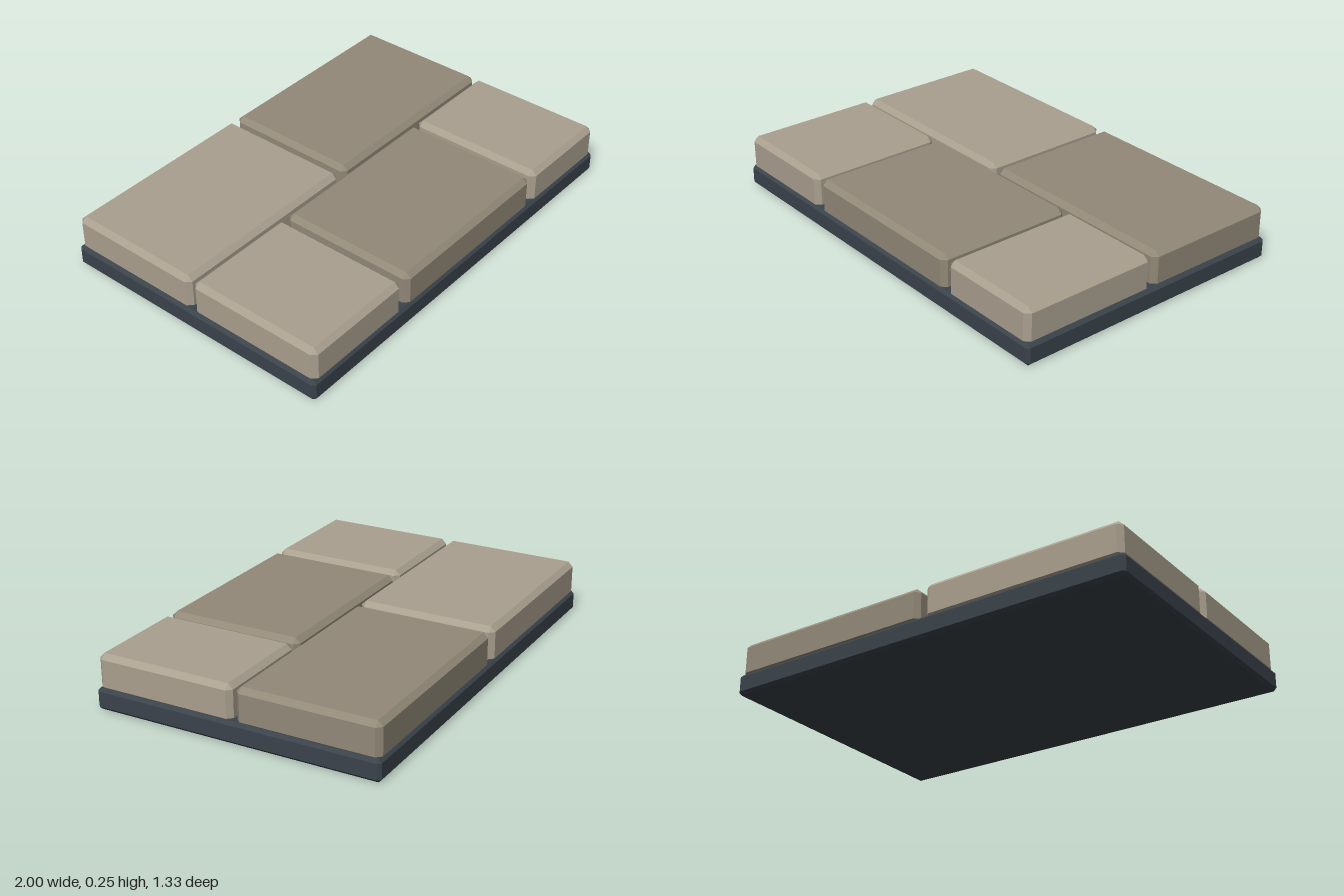
import * as THREE from 'three';
import { ConvexGeometry } from 'three/addons/geometries/ConvexGeometry.js';

const slate = new THREE.MeshStandardMaterial({ color: 0x3a434b, flatShading: true });
const lightStone = new THREE.MeshStandardMaterial({ color: 0xaaa08f, flatShading: true });
const darkStone = new THREE.MeshStandardMaterial({ color: 0x928978, flatShading: true });

// Box with every edge cut by a single flat chamfer, given by its limits
function chamferedBox(name, material, [x0, x1], [y0, y1], [z0, z1], c) {
  const half = [(x1 - x0) / 2, (y1 - y0) / 2, (z1 - z0) / 2];
  const points = [];
  for (const sx of [-1, 1]) for (const sy of [-1, 1]) for (const sz of [-1, 1]) {
    // each corner becomes three points, one on each adjoining face
    for (let axis = 0; axis < 3; axis++) {
      const [hx, hy, hz] = half.map((h, i) => (i === axis ? h : h - c));
      points.push(new THREE.Vector3(sx * hx, sy * hy, sz * hz));
    }
  }
  const mesh = new THREE.Mesh(new ConvexGeometry(points), material);
  mesh.name = name;
  mesh.position.set((x0 + x1) / 2, (y0 + y1) / 2, (z0 + z1) / 2);
  return mesh;
}

export function createModel() {
  const group = new THREE.Group();
  group.name = 'stoneFloor';

  // Dark bedding slab
  group.add(chamferedBox('base', slate, [-1, 1], [0, 0.098], [-0.667, 0.667], 0.014));

  // Paving stones in two staggered rows, sunk slightly into the slab
  const rows = [
    { name: 'backStone', z: [-0.661, -0.008], spans: [[-0.988, -0.038], [-0.006, 0.988]] },
    { name: 'frontStone', z: [0.008, 0.661], spans: [[-0.988, -0.443], [-0.412, 0.472], [0.498, 0.988]] },
  ];
  for (const row of rows) {
    row.spans.forEach((span, i) => {
      const material = i % 2 ? darkStone : lightStone;
      group.add(chamferedBox(row.name + (i + 1), material, span, [0.08, 0.25], row.z, 0.023));
    });
  }
  return group;
}
